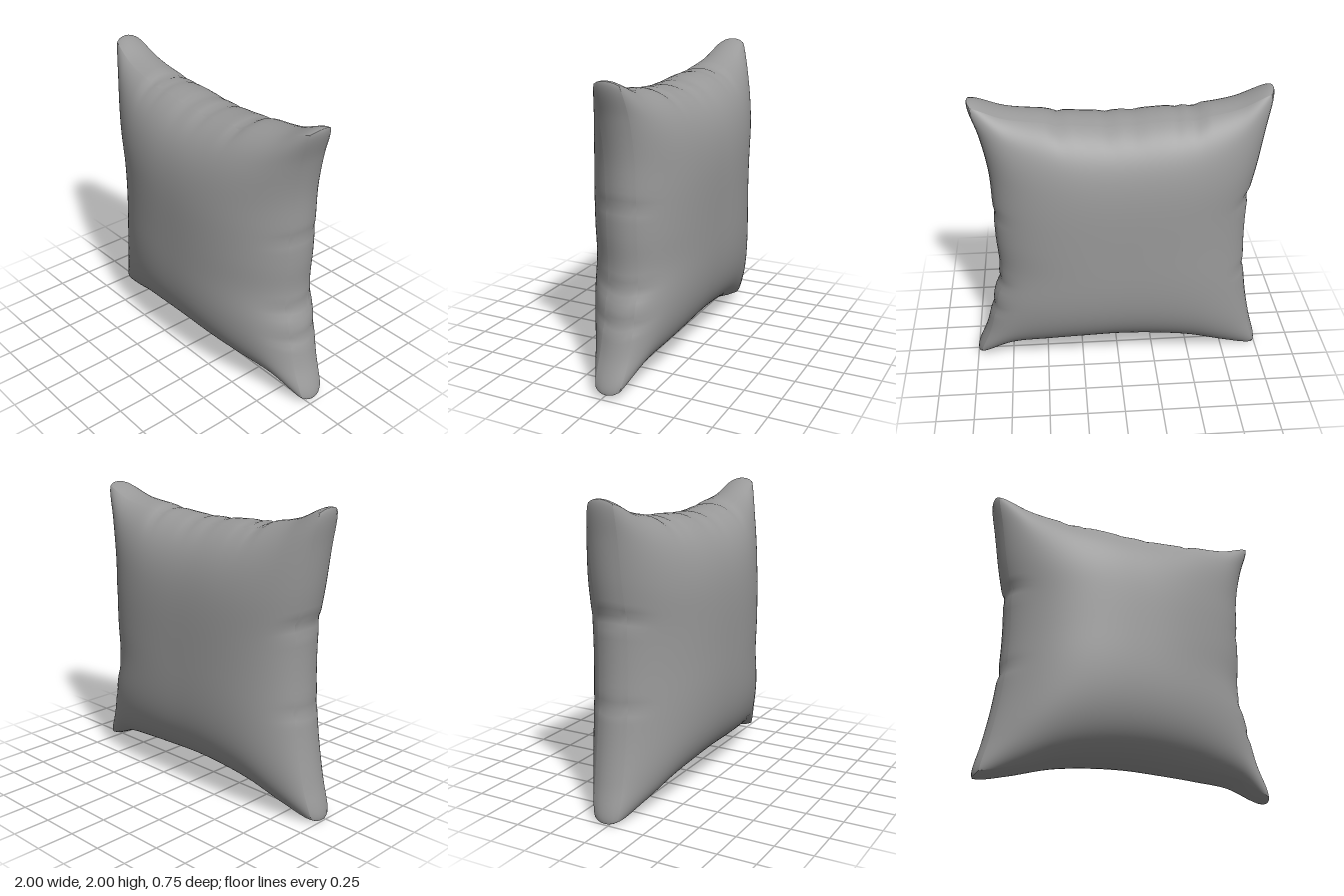
import * as THREE from 'three';
import { mergeVertices } from 'three/addons/utils/BufferGeometryUtils.js';

// Smooth curve through evenly spaced edge offsets, sampled over s in [-1, 1]
function edge(values) {
  const curve = new THREE.SplineCurve(values.map((v, i) => new THREE.Vector2(i, v)));
  return s => curve.getPoint((s + 1) / 2).y;
}

// Outline: left/right edges give x from bottom to top, the others y from left to right
const left = edge([-1.015, -0.95, -0.9, -0.87, -0.86, -0.87, -0.915, -0.955, -1.0]);
const right = edge([1.015, 0.92, 0.86, 0.805, 0.815, 0.82, 0.83, 0.875, 0.95]);
const top = edge([2.015, 1.91, 1.86, 1.84, 1.825, 1.83, 1.86, 1.895, 1.985]);
const bottom = edge([-0.015, 0.04, 0.11, 0.145, 0.158, 0.15, 0.135, 0.11, 0.015]);

// Small fabric tucks: [position along the edge, depth]
const tucks = {
  left: [[0.27, 0.02], [-0.28, 0.012]],
  right: [[0.19, 0.01], [-0.35, 0.018], [-0.56, 0.015]],
  top: [[-0.48, 0.02], [-0.37, 0.012], [-0.08, 0.01], [0.1, 0.012], [0.42, 0.018]],
};
const tuck = (list, s, inward) =>
  list.reduce((sum, [at, depth]) => sum + depth * Math.exp(-(((s - at) / 0.035) ** 2)), 0)
  * Math.exp(-((inward / 0.12) ** 2));

function cushionGeometry() {
  const box = new THREE.BoxGeometry(2, 2, 2, 64, 64, 6);
  box.deleteAttribute('uv');
  box.deleteAttribute('normal');
  const geo = mergeVertices(box);
  const pos = geo.attributes.position;
  const ease = s => Math.sin(s * Math.PI / 2); // finer rows towards the rim

  for (let i = 0; i < pos.count; i++) {
    // the faces stop just short of the rim; the box sides round it off
    const w = pos.getZ(i);
    const inset = 1 - 0.03 * w * w;
    const u = ease(pos.getX(i)) * inset, v = ease(pos.getY(i)) * inset;
    const au = Math.min(1, Math.abs(u)), av = Math.min(1, Math.abs(v));

    // stretch the square to the outline, with blunt corners
    const blunt = 1 - 0.02 * (au * av) ** 20;
    let x = THREE.MathUtils.lerp(left(v), right(v), (u + 1) / 2) * blunt;
    let y = 1 + (THREE.MathUtils.lerp(bottom(u), top(u), (v + 1) / 2) - 1) * blunt;

    // tucks pull the edge inwards
    x += tuck(tucks.left, v, 1 + u) - tuck(tucks.right, v, 1 - u);
    y -= tuck(tucks.top, u, 1 - v);

    // stuffed thickness, fuller up and down than sideways, with thick corner tips
    const puff = Math.sqrt((1 - au ** 2.6) * (1 - av ** 3.8));
    const tip = 0.06 * (au * av) ** 4;
    // the side seams sit slightly to the back
    const seam = au ** 2 * (0.02 * av ** 4 - 0.05);
    pos.setXYZ(i, x, y, Math.sign(w) * 0.373 * puff + w * tip + seam);
  }
  geo.computeVertexNormals();
  return geo;
}

export function createModel() {
  const group = new THREE.Group();
  group.name = 'pillow';
  const cushion = new THREE.Mesh(cushionGeometry(), new THREE.MeshStandardMaterial({ color: 0x999999 }));
  cushion.name = 'cushion';
  group.add(cushion);
  return group;
}
